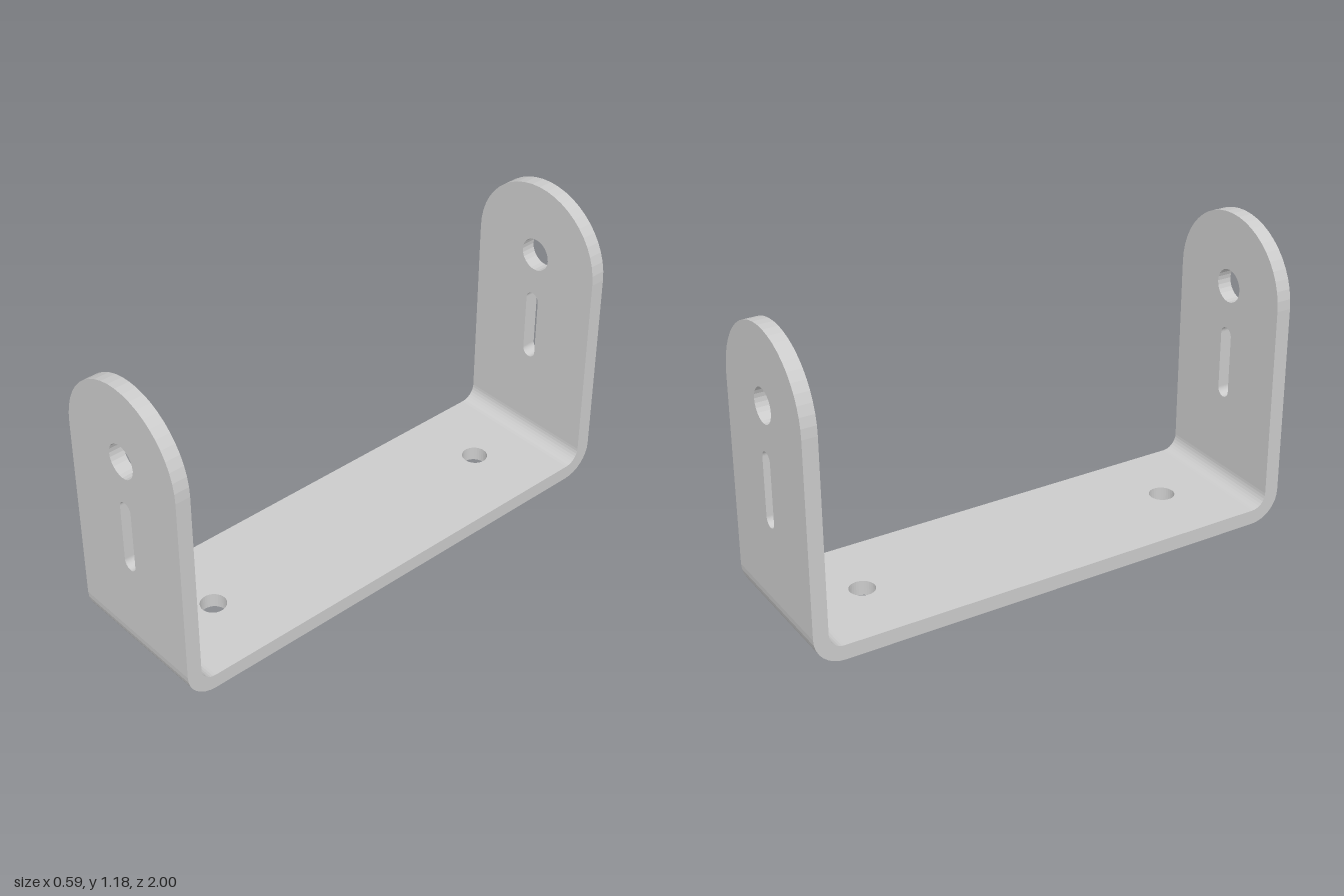
import * as THREE from 'three';

const HALF = 0.294;   // half width of the strip
const T = 0.059;      // sheet thickness
const R = 0.118;      // outer bend radius
const ARCH_Y = 0.882; // centre of the rounded top and the pivot hole

const material = new THREE.MeshStandardMaterial({ color: 0xcccccc, flatShading: true });

function extrude(name, shape, depth, curveSegments) {
  const geometry = new THREE.ExtrudeGeometry(shape, { depth, curveSegments, bevelEnabled: false });
  const mesh = new THREE.Mesh(geometry, material);
  mesh.name = name;
  return mesh;
}

function circleHole(x, y, r) {
  return new THREE.Path().absarc(x, y, r, 0, Math.PI * 2, true);
}

// Upright plate with arched top, pivot hole and vertical slot
function makeFlange() {
  const shape = new THREE.Shape();
  shape.moveTo(-HALF, R);
  shape.lineTo(HALF, R);
  shape.lineTo(HALF, ARCH_Y);
  shape.absarc(0, ARCH_Y, HALF, 0, Math.PI, false);
  shape.closePath();

  const slotR = 0.03;
  const slot = new THREE.Path();
  slot.absarc(0, 0.678, slotR, Math.PI, 0, true);
  slot.absarc(0, 0.444, slotR, 0, -Math.PI, true);
  slot.closePath();

  shape.holes.push(circleHole(0, ARCH_Y, 0.066), slot);
  const mesh = extrude('flange', shape, T, 12);
  mesh.geometry.translate(0, 0, 1 - T);
  return mesh;
}

// Quarter-ring bend joining the base to an upright
function makeBend() {
  const shape = new THREE.Shape();
  shape.absarc(1 - R, R, R, -Math.PI / 2, 0, false);
  shape.absarc(1 - R, R, R - T, 0, -Math.PI / 2, true);
  shape.closePath();
  const mesh = extrude('bend', shape, HALF * 2, 4);
  mesh.geometry.rotateY(-Math.PI / 2).translate(HALF, 0, 0);
  return mesh;
}

// Flat base with two mounting holes
function makeBase() {
  const end = 1 - R;
  const shape = new THREE.Shape();
  shape.moveTo(-HALF, -end);
  shape.lineTo(HALF, -end);
  shape.lineTo(HALF, end);
  shape.lineTo(-HALF, end);
  shape.closePath();
  for (const side of [-1, 1]) shape.holes.push(circleHole(0, side * 0.662, 0.05));
  const mesh = extrude('base', shape, T, 16);
  mesh.geometry.rotateX(-Math.PI / 2);
  return mesh;
}

export function createModel() {
  const model = new THREE.Group();
  model.name = 'uBracket';
  model.add(makeBase());

  // Identical front and back arms
  for (const [name, turn] of [['frontArm', 0], ['backArm', Math.PI]]) {
    const arm = new THREE.Group();
    arm.name = name;
    arm.add(makeFlange(), makeBend());
    arm.rotation.y = turn;
    model.add(arm);
  }
  return model;
}
